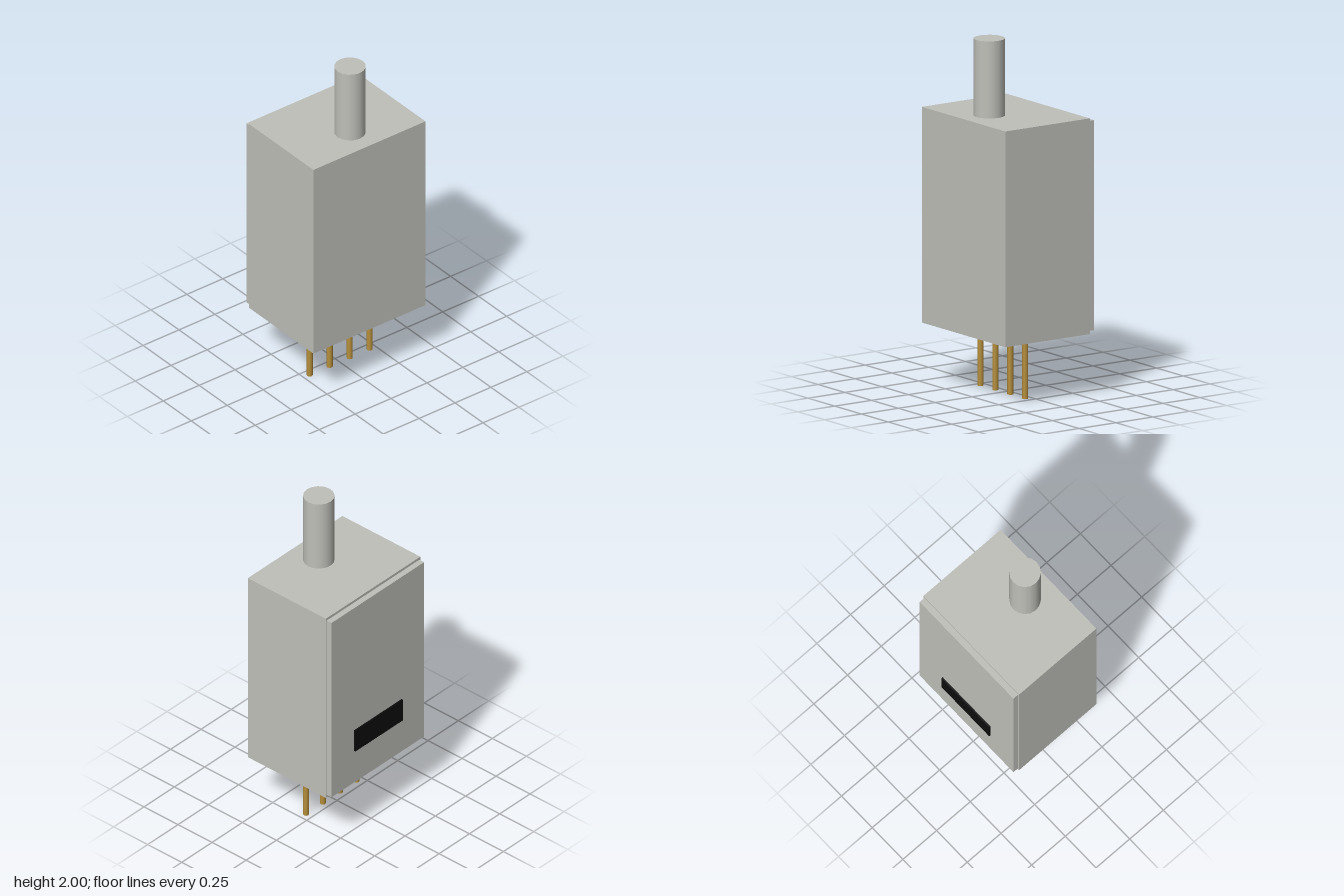
import * as THREE from 'three';

export function createModel() {
  const group = new THREE.Group();
  const grey = new THREE.MeshStandardMaterial({ name: 'grey metal', color: 0xc0c0ba });
  const gold = new THREE.MeshStandardMaterial({ name: 'gold', color: 0xb8903c });
  const black = new THREE.MeshStandardMaterial({ name: 'black', color: 0x0c0c0c });

  const add = (name, geometry, material, x, y, z) => {
    const mesh = new THREE.Mesh(geometry, material);
    mesh.name = name;
    mesh.position.set(x, y, z);
    group.add(mesh);
  };

  // Housing with a slightly smaller back cover
  add('housing', new THREE.BoxGeometry(0.78, 1.212, 0.573), grey, 0, 0.961, 0.0215);
  add('backCover', new THREE.BoxGeometry(0.764, 1.18, 0.036), grey, 0, 0.961, -0.282);

  // Thin dark label on the cover
  add('label', new THREE.BoxGeometry(0.39, 0.14, 0.0095), black, 0, 0.655, -0.3047);

  // Round post on top
  add('post', new THREE.CylinderGeometry(0.087, 0.087, 0.433, 16), grey, 0, 1.7835, 0.134);

  // Row of contact pins below
  const pin = new THREE.CylinderGeometry(0.017, 0.017, 0.355, 8);
  for (let i = 0; i < 4; i++) {
    add('pin' + (i + 1), pin, gold, (i - 1.5) * 0.139, 0.1775, 0.042);
  }
  return group;
}
